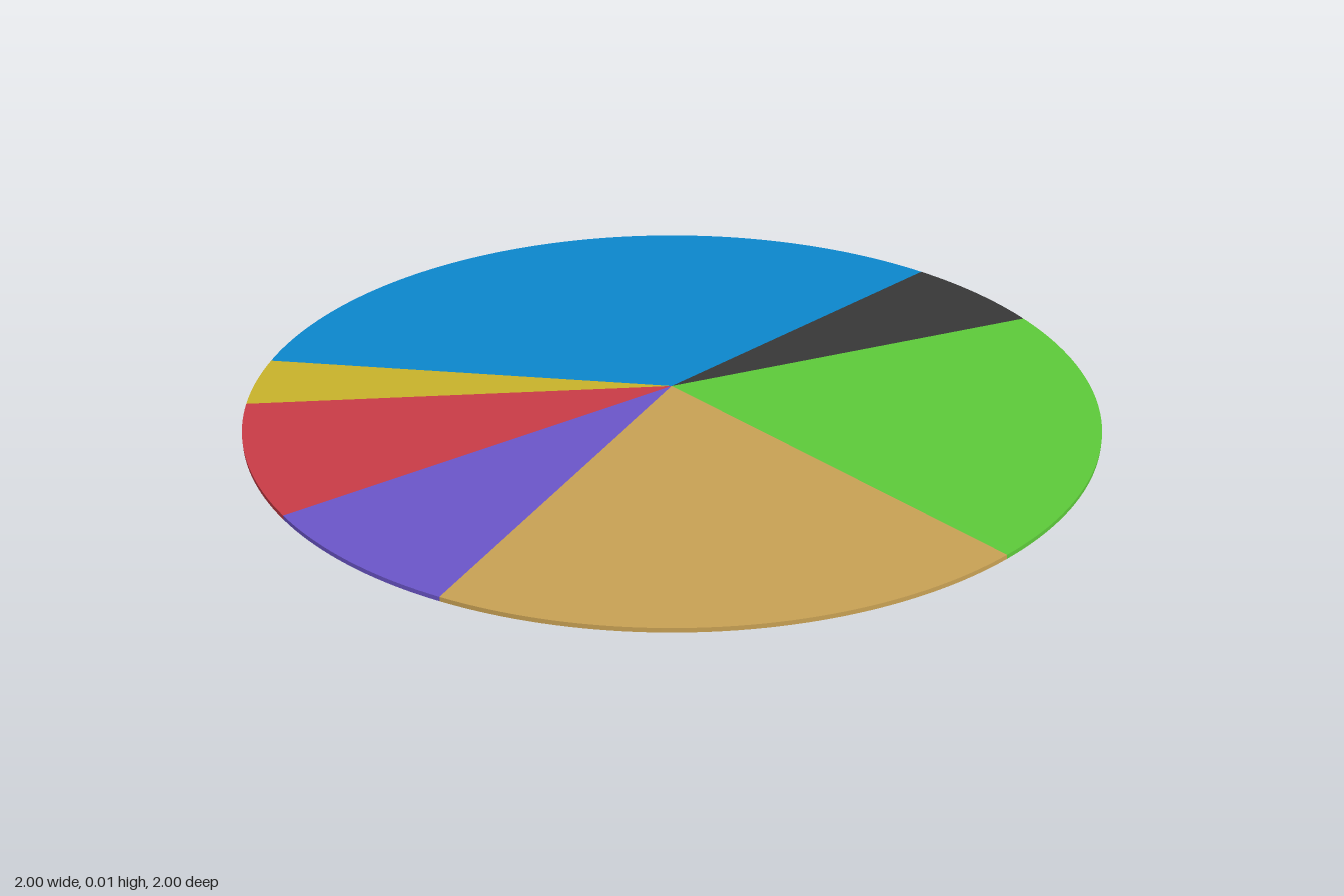
import * as THREE from 'three';

const RADIUS = 1;
const THICKNESS = 0.01;

// Slices run counter-clockwise seen from above, starting at -x: name, sweep in degrees, color
const SLICES = [
  ['yellowSlice', 13.5, 0xc8b22a],
  ['redSlice', 31.5, 0xc93c46],
  ['purpleSlice', 27, 0x6b55c9],
  ['tanSlice', 67.5, 0xc8a154],
  ['greenSlice', 72, 0x5dca3a],
  ['darkSlice', 22.5, 0x373737],
  ['blueSlice', 126, 0x0c86cc],
];

// A flat wedge of the disc: top, bottom and rounded rim
function makeSlice(name, start, sweep, color) {
  const geometry = new THREE.CylinderGeometry(
    RADIUS, RADIUS, THICKNESS, Math.ceil(sweep / 1.5), 1, false,
    THREE.MathUtils.degToRad(start), THREE.MathUtils.degToRad(sweep)
  );
  geometry.translate(0, THICKNESS / 2, 0);
  const slice = new THREE.Mesh(geometry, new THREE.MeshStandardMaterial({ color }));
  slice.name = name;
  return slice;
}

export function createModel() {
  const pie = new THREE.Group();
  pie.name = 'pieChart';
  let start = -90; // -x direction
  for (const [name, sweep, color] of SLICES) {
    pie.add(makeSlice(name, start, sweep, color));
    start += sweep;
  }
  return pie;
}
